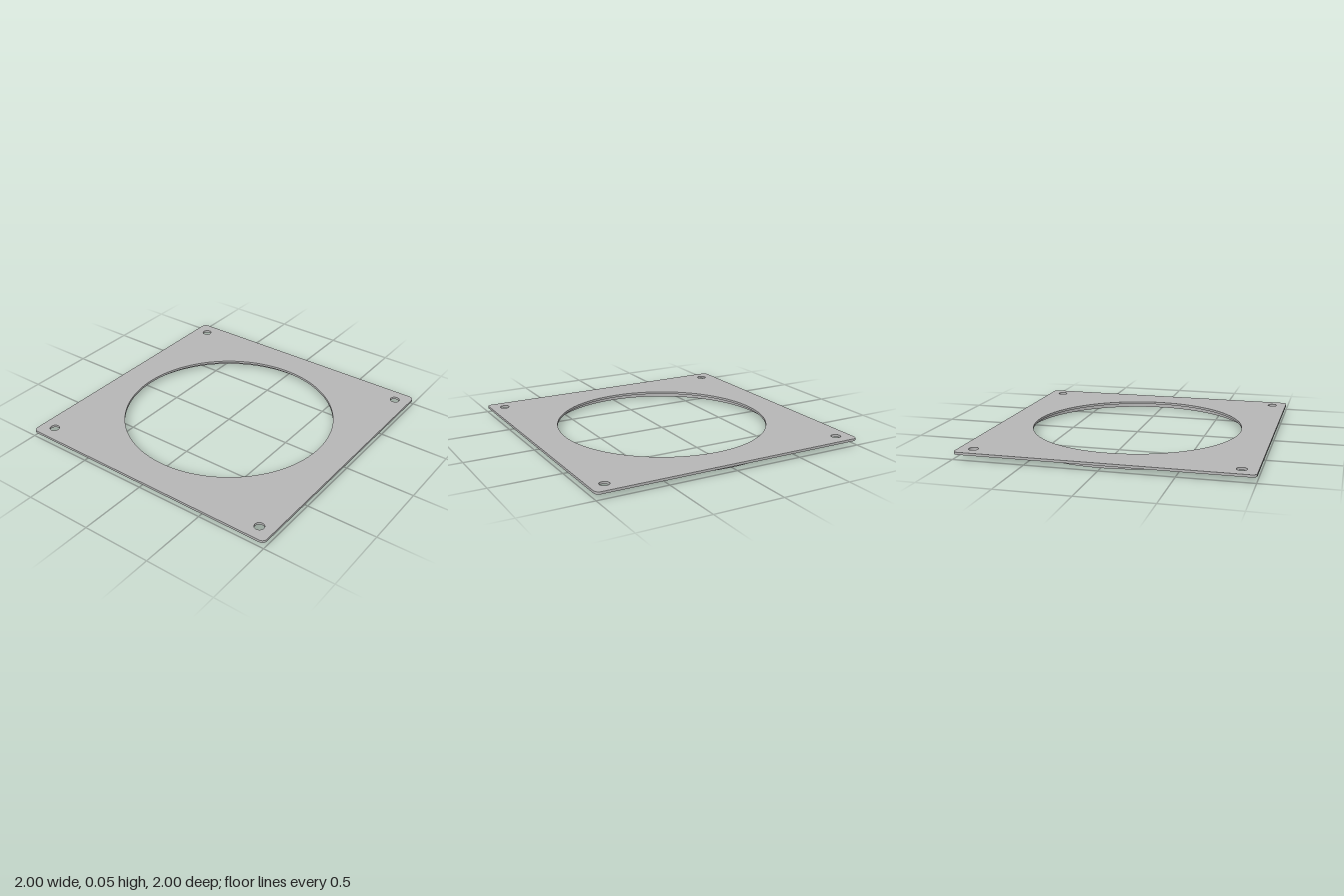
import * as THREE from 'three';

const PLATE_BOTTOM = 0.035, PLATE_TOP = 0.052;

// Circular cut-out for a shape
function circle(x, y, r) {
  return new THREE.Path().absarc(x, y, r, 0, Math.PI * 2, true);
}

// Square outline with rounded corners
function roundedSquare(h, r) {
  const s = new THREE.Shape();
  const c = h - r;
  s.absarc(c, c, r, 0, Math.PI / 2);
  s.absarc(-c, c, r, Math.PI / 2, Math.PI);
  s.absarc(-c, -c, r, Math.PI, Math.PI * 1.5);
  s.absarc(c, -c, r, Math.PI * 1.5, Math.PI * 2);
  s.closePath();
  return s;
}

// Rectangular-section ring; each wall has its own points so edges stay sharp
function ringGeometry(inner, outer, y0, y1) {
  const p = [[inner, y0], [outer, y0], [outer, y1], [inner, y1]];
  const group = new THREE.Group();
  p.forEach((a, i) => {
    const b = p[(i + 1) % 4];
    group.add(new THREE.Mesh(new THREE.LatheGeometry(
      [new THREE.Vector2(...a), new THREE.Vector2(...b)], 128)));
  });
  return group;
}

export function createModel() {
  const model = new THREE.Group();
  const grey = new THREE.MeshStandardMaterial({ color: 0xb8b8b8 });
  grey.name = 'grey';

  // Square plate with the large opening and four screw holes
  const outline = roundedSquare(1, 0.035);
  outline.holes.push(circle(0, 0, 0.763));
  for (const x of [-0.895, 0.895])
    for (const y of [-0.895, 0.895]) outline.holes.push(circle(x, y, 0.034));
  const plateGeometry = new THREE.ExtrudeGeometry(outline, {
    depth: PLATE_TOP - PLATE_BOTTOM, bevelEnabled: false, curveSegments: 64,
  });
  plateGeometry.rotateX(-Math.PI / 2).translate(0, PLATE_BOTTOM, 0);
  const plate = new THREE.Mesh(plateGeometry, grey);
  plate.name = 'plate';
  model.add(plate);

  // Two concentric ribs under the plate with a groove between them
  const ribs = { outerRib: [0.905, 0.935], innerRib: [0.81, 0.84] };
  for (const [name, [inner, outer]] of Object.entries(ribs)) {
    const rib = ringGeometry(inner, outer, 0, PLATE_BOTTOM + 0.002);
    rib.name = name;
    rib.children.forEach((wall) => {
      wall.material = grey;
      wall.name = name + 'Wall';
    });
    model.add(rib);
  }
  return model;
}
